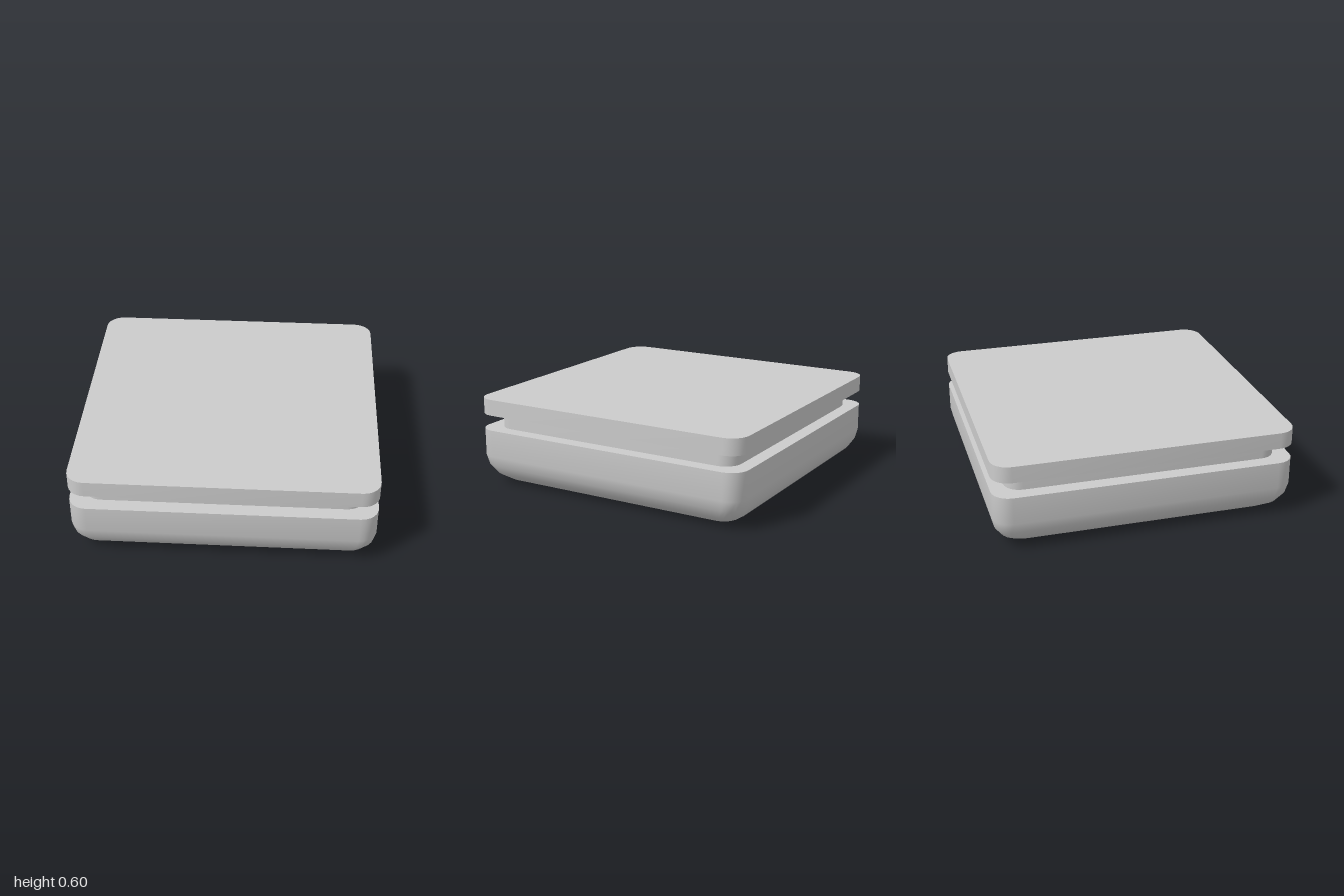
import * as THREE from 'three';
import { toCreasedNormals } from 'three/addons/utils/BufferGeometryUtils.js';

const CORNER = 0.12, STEPS = 6;

// Outline of a unit rounded square, as [x, z] pairs
function outline() {
  const pts = [];
  for (let q = 0; q < 4; q++) {
    const mid = (q + 0.5) * Math.PI / 2;
    const cx = Math.sign(Math.cos(mid)) * (1 - CORNER);
    const cz = Math.sign(Math.sin(mid)) * (1 - CORNER);
    for (let i = 0; i <= STEPS; i++) {
      const a = (q + i / STEPS) * Math.PI / 2;
      pts.push([cx + CORNER * Math.cos(a), cz + CORNER * Math.sin(a)]);
    }
  }
  return pts;
}

// Sweep a [halfWidth, y] profile, bottom to top, around the rounded square
function loft(profile) {
  const ring = outline(), n = ring.length, pos = [];
  const point = ([s, y], j) => [ring[j % n][0] * s, y, ring[j % n][1] * s];
  for (let i = 0; i < profile.length - 1; i++) {
    const lo = profile[i], hi = profile[i + 1];
    for (let j = 0; j < n; j++) {
      const a = point(lo, j), b = point(lo, j + 1);
      const c = point(hi, j), d = point(hi, j + 1);
      if (lo[0] > 0) pos.push(...a, ...c, ...b);
      if (hi[0] > 0) pos.push(...b, ...c, ...d);
    }
  }
  const geo = new THREE.BufferGeometry();
  geo.setAttribute('position', new THREE.Float32BufferAttribute(pos, 3));
  return toCreasedNormals(geo, 0.7);
}

export function createModel() {
  const group = new THREE.Group();
  const material = new THREE.MeshStandardMaterial({ color: 0xcccccc });
  const add = (name, profile) => {
    const mesh = new THREE.Mesh(loft(profile), material);
    mesh.name = name;
    group.add(mesh);
  };

  // Tray with a rounded underside
  add('base', [
    [0, 0], [0.8, 0], [0.88, 0.018], [0.945, 0.065],
    [0.985, 0.13], [1, 0.2], [1, 0.385], [0, 0.385],
  ]);
  // Recessed band between base and lid
  add('neck', [[0.905, 0.385], [0.905, 0.49]]);
  // Flat slab on top
  add('lid', [[0, 0.49], [1, 0.49], [1, 0.6], [0, 0.6]]);

  return group;
}
